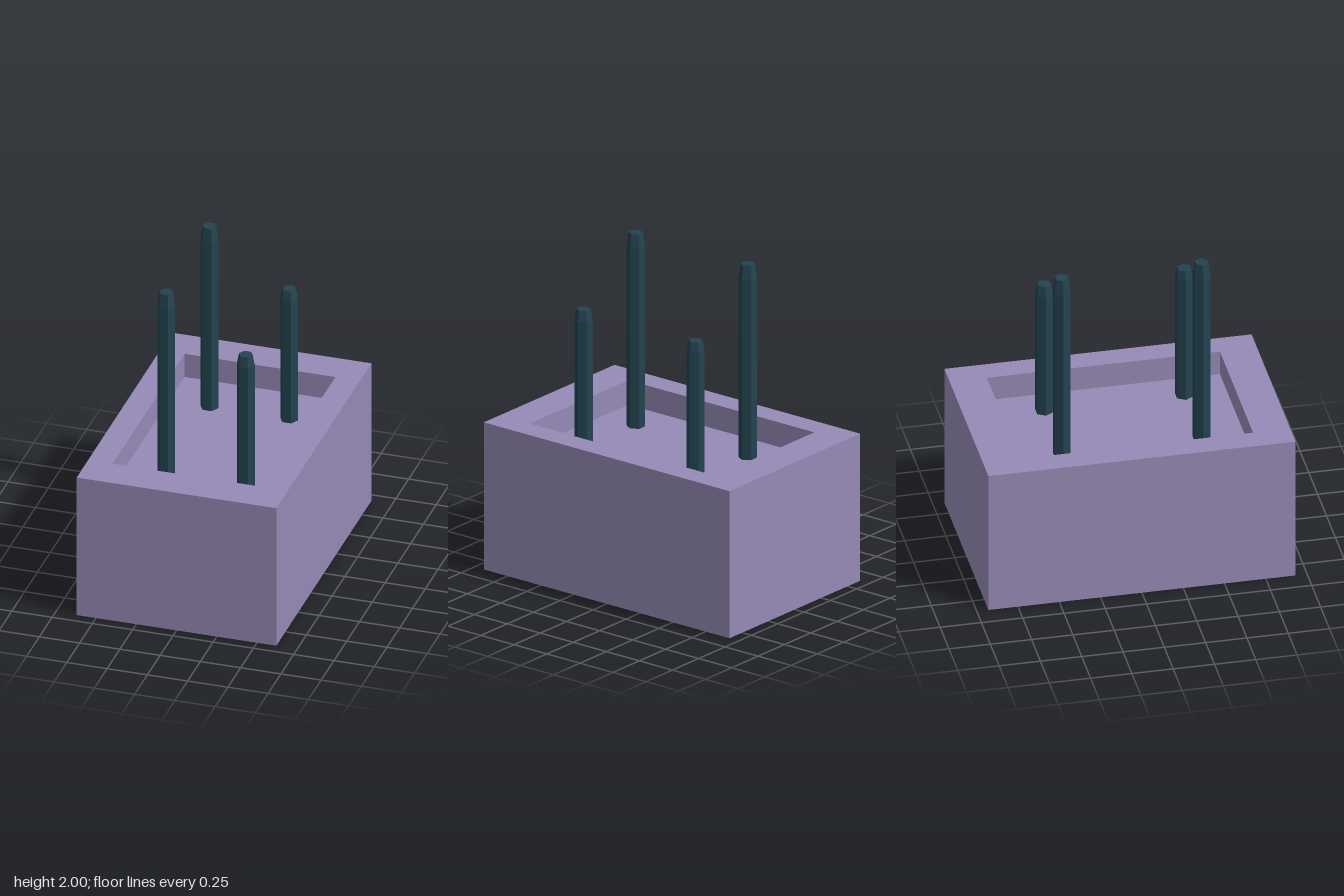
import * as THREE from 'three';

const paint = (name, color) => {
  const m = new THREE.MeshStandardMaterial({ color });
  m.name = name;
  return m;
};

// Open-topped block: rectangular rings joined from the base, over the rim, down to the recess floor
function trayGeometry(rings) {
  const corners = rings.map(([x, y, z]) => [[-x, y, z], [x, y, z], [x, y, -z], [-x, y, -z]]);
  const pos = [];
  const quad = (a, b, c, d) => pos.push(...a, ...b, ...c, ...a, ...c, ...d);
  for (let r = 0; r < corners.length - 1; r++) {
    const lo = corners[r], hi = corners[r + 1];
    for (let i = 0; i < 4; i++) {
      const j = (i + 1) % 4;
      quad(lo[i], lo[j], hi[j], hi[i]);
    }
  }
  const [base, floor] = [corners[0], corners[corners.length - 1]];
  quad(base[3], base[2], base[1], base[0]);
  quad(...floor);
  const geo = new THREE.BufferGeometry();
  geo.setAttribute('position', new THREE.Float32BufferAttribute(pos, 3));
  geo.computeVertexNormals();
  return geo;
}

// Six-sided peg with a tapered tip, standing on its own origin
function pegGeometry(height, taper) {
  const profile = [[0, 0], [0.055, 0], [0.055, height - taper], [0.043, height], [0, height]];
  const geo = new THREE.LatheGeometry(profile.map(p => new THREE.Vector2(...p)), 6, Math.PI / 2);
  const flat = geo.toNonIndexed();
  flat.computeVertexNormals();
  return flat;
}

export function createModel() {
  const model = new THREE.Group();
  model.name = 'peggedBlock';
  const purple = paint('dusty purple', 0x968ab6);
  const teal = paint('dark teal', 0x23434f);

  const floorY = 0.775;
  const block = new THREE.Mesh(trayGeometry([
    [0.62, 0, 0.93], [0.62, 0.93, 0.93], [0.468, 0.93, 0.705], [0.468, floorY, 0.705],
  ]), purple);
  block.name = 'recessedBlock';
  model.add(block);

  // Two tall pegs on the right side, two short ones on the left
  const rows = [
    { name: 'tallPeg', x: -0.217, top: 2, taper: 0.09 },
    { name: 'shortPeg', x: 0.278, top: 1.66, taper: 0.065 },
  ];
  for (const { name, x, top, taper } of rows) {
    const geo = pegGeometry(top - floorY, taper);
    for (const [end, z] of [['Front', 0.447], ['Back', -0.4]]) {
      const peg = new THREE.Mesh(geo, teal);
      peg.name = name + end;
      peg.position.set(x, floorY, z);
      model.add(peg);
    }
  }
  return model;
}
